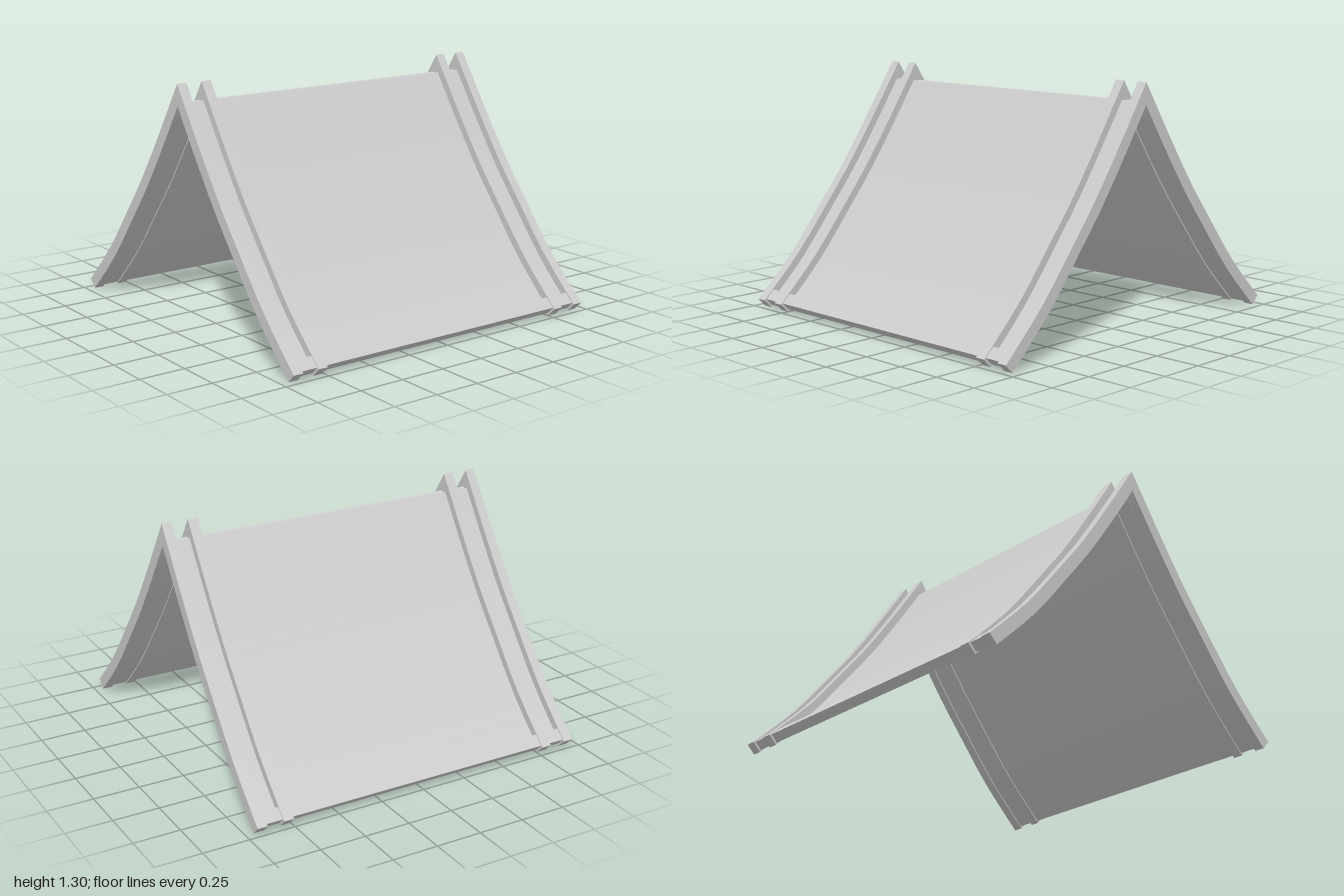
import * as THREE from 'three';
import { toCreasedNormals } from 'three/addons/utils/BufferGeometryUtils.js';

const material = new THREE.MeshStandardMaterial({ color: 0xcccccc, side: THREE.DoubleSide });
const THICK = 0.064;

// Upper edge of one roof slope, from ridge to eave
const slope = new THREE.SplineCurve([
  [0, 1.3], [0.2, 1.0], [0.38, 0.745], [0.53, 0.557], [0.755, 0.285], [1.0, 0.045],
].map(([x, y]) => new THREE.Vector2(x, y)));

// Points along the slope, sunk by depth at right angles to it
function slopeLine(depth, u0, u1, steps) {
  const points = [];
  for (let i = 0; i <= steps; i++) {
    const u = u0 + (u1 - u0) * i / steps;
    const t = slope.getTangentAt(u);
    points.push(slope.getPointAt(u).add(new THREE.Vector2(t.y, -t.x).multiplyScalar(depth)));
  }
  return points;
}

// Extrude a closed outline along z, centred on the given z
function extrude(name, points, length, z = 0) {
  let geometry = new THREE.ExtrudeGeometry(new THREE.Shape(points), { depth: length, bevelEnabled: false });
  geometry.translate(0, 0, z - length / 2);
  geometry = toCreasedNormals(geometry, 0.3);
  const mesh = new THREE.Mesh(geometry, material);
  mesh.name = name;
  return mesh;
}

// Outline of a strip lying between two depths below the upper edge
function strip(d0, d1, u0, u1, steps) {
  return [...slopeLine(d0, u0, u1, steps), ...slopeLine(d1, u0, u1, steps).reverse()];
}

// Outline of a rafter pair: both slopes joined by a mitre at the ridge
function rafterOutline() {
  const mirror = (pts) => pts.slice(1).reverse().map((p) => new THREE.Vector2(-p.x, p.y));
  const outer = slopeLine(0, 0, 1, 14);
  const lower = slopeLine(THICK, 0, 1, 14).filter((p) => p.x > 0.01);
  const inner = [new THREE.Vector2(0, 1.19), ...lower];
  return [...mirror(outer), ...outer, ...inner.slice(1).reverse(), inner[0], ...mirror(inner).reverse()];
}

export function createModel() {
  const roof = new THREE.Group();
  roof.name = 'gableRoof';

  // Two rafter pairs near each gable end
  const outline = rafterOutline();
  for (const side of [-1, 1]) {
    roof.add(extrude('outerRafter', outline, 0.055, side * 0.928));
    roof.add(extrude('innerRafter', outline, 0.055, side * 0.783));
  }

  // A thin curved panel and an eave board on each slope
  for (const [name, turn] of [['left', 0], ['right', Math.PI]]) {
    const half = new THREE.Group();
    half.name = name + 'Slope';
    half.add(extrude('roofPanel', strip(0.042, 0.058, 0.056, 0.988, 14), 1.84));
    half.add(extrude('eaveBoard', strip(0.006, 0.058, 0.95, 0.992, 1), 1.84));
    half.rotation.y = turn;
    roof.add(half);
  }
  return roof;
}
